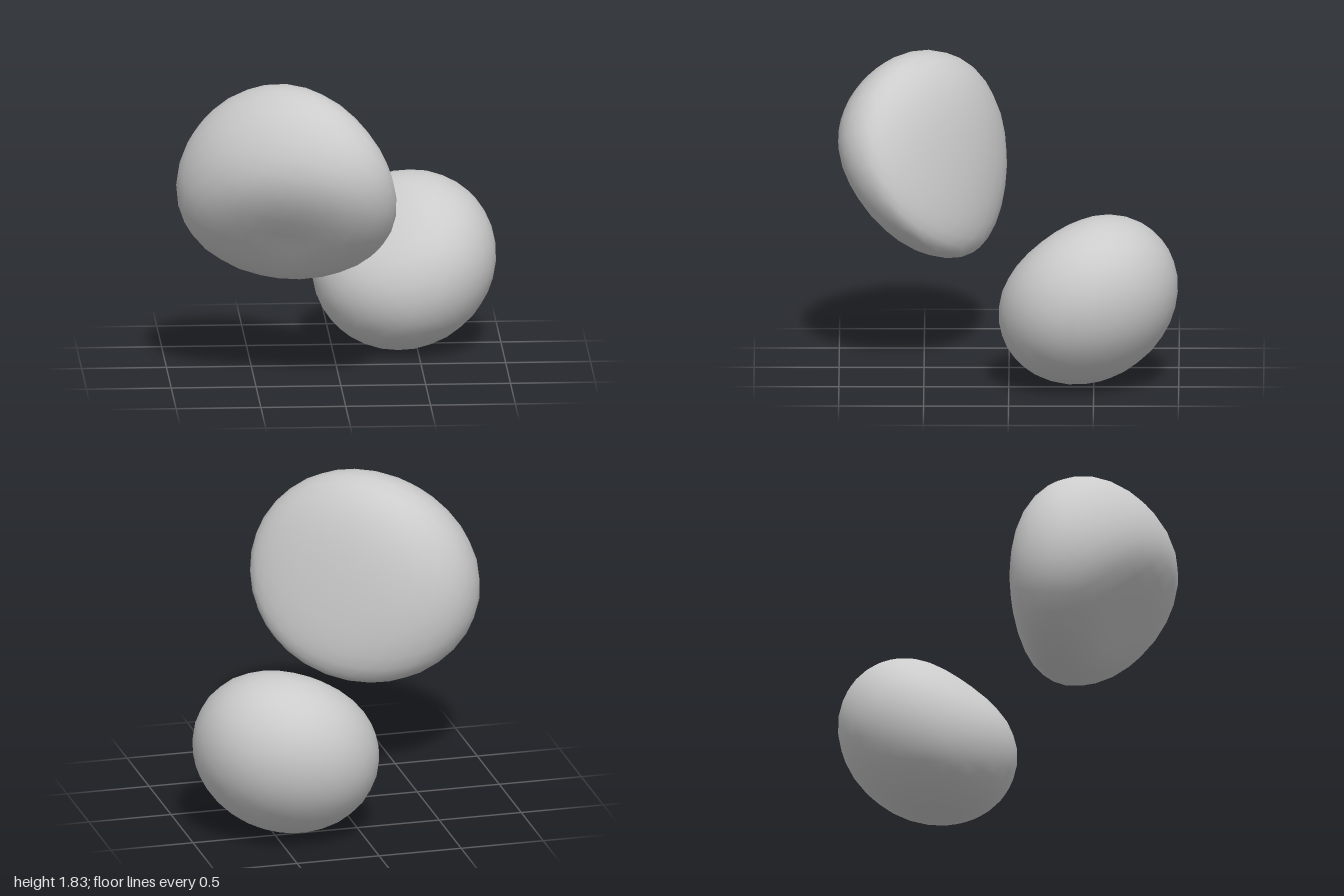
import * as THREE from 'three';
import { mergeVertices } from 'three/addons/utils/BufferGeometryUtils.js';

const material = new THREE.MeshStandardMaterial({ color: 0xcccccc });

// Smooth pebble: an ellipsoid whose hollowed face points towards `facing`
// and whose long axis runs `along`; `back` shapes the opposite half.
function pebble(name, { centre, facing, along, radii, hollow, arch, back }) {
  const n = new THREE.Vector3(...facing).normalize();
  const v = n.clone().cross(new THREE.Vector3(...along)).normalize();
  const u = v.clone().cross(n);
  const frame = new THREE.Matrix4().makeBasis(u, v, n);

  // Welded sphere, so the normals come out smooth
  let geometry = new THREE.IcosahedronGeometry(1, 5);
  geometry.deleteAttribute('uv');
  geometry.deleteAttribute('normal');
  geometry = mergeVertices(geometry, 1e-4);

  const pos = geometry.attributes.position;
  const p = new THREE.Vector3();
  for (let i = 0; i < pos.count; i++) {
    const { x, y, z } = p.fromBufferAttribute(pos, i);
    // Back half: own depth, tapering lengthwise and fuller towards the top
    const thickness = z < 0 ? back.depth * (1 - back.taper * x + back.rise * y) : 1;
    // Soft hollow on the facing side only
    const dent = hollow.depth * Math.max(z, 0) *
      Math.exp(-hollow.along * x * x - hollow.across * (y - hollow.y) ** 2);
    p.set(x * radii[0], y * radii[1], z * radii[2] * thickness - arch * y * y - dent);
    p.applyMatrix4(frame);
    pos.setXYZ(i, p.x, p.y, p.z);
  }
  geometry.computeVertexNormals();

  const mesh = new THREE.Mesh(geometry, material);
  mesh.name = name;
  mesh.position.set(...centre);
  return mesh;
}

export function createModel() {
  const model = new THREE.Group();
  model.name = 'twoPebbles';

  // Upper, flatter body with a groove low on its front and ends swept back
  model.add(pebble('upperPebble', {
    centre: [-0.322, 1.19, 0.52],
    facing: [-0.41, -0.30, 0.86], along: [0.825, 0.287, 0.488],
    radii: [0.695, 0.62, 0.43], arch: 0.11,
    hollow: { depth: 0.15, along: 1.4, across: 2.6, y: -0.4 },
    back: { depth: 0.87, taper: 0.23, rise: 0.28 },
  }));

  // Lower, rounder body with a flattened face
  model.add(pebble('lowerPebble', {
    centre: [0.425, 0.517, -0.465],
    facing: [-0.43, 0.69, 0.57], along: [0.8, 0, 0.6],
    radii: [0.557, 0.557, 0.485], arch: 0,
    hollow: { depth: 0.085, along: 1.5, across: 1.5, y: 0 },
    back: { depth: 0.98, taper: 0, rise: 0 },
  }));

  return model;
}
